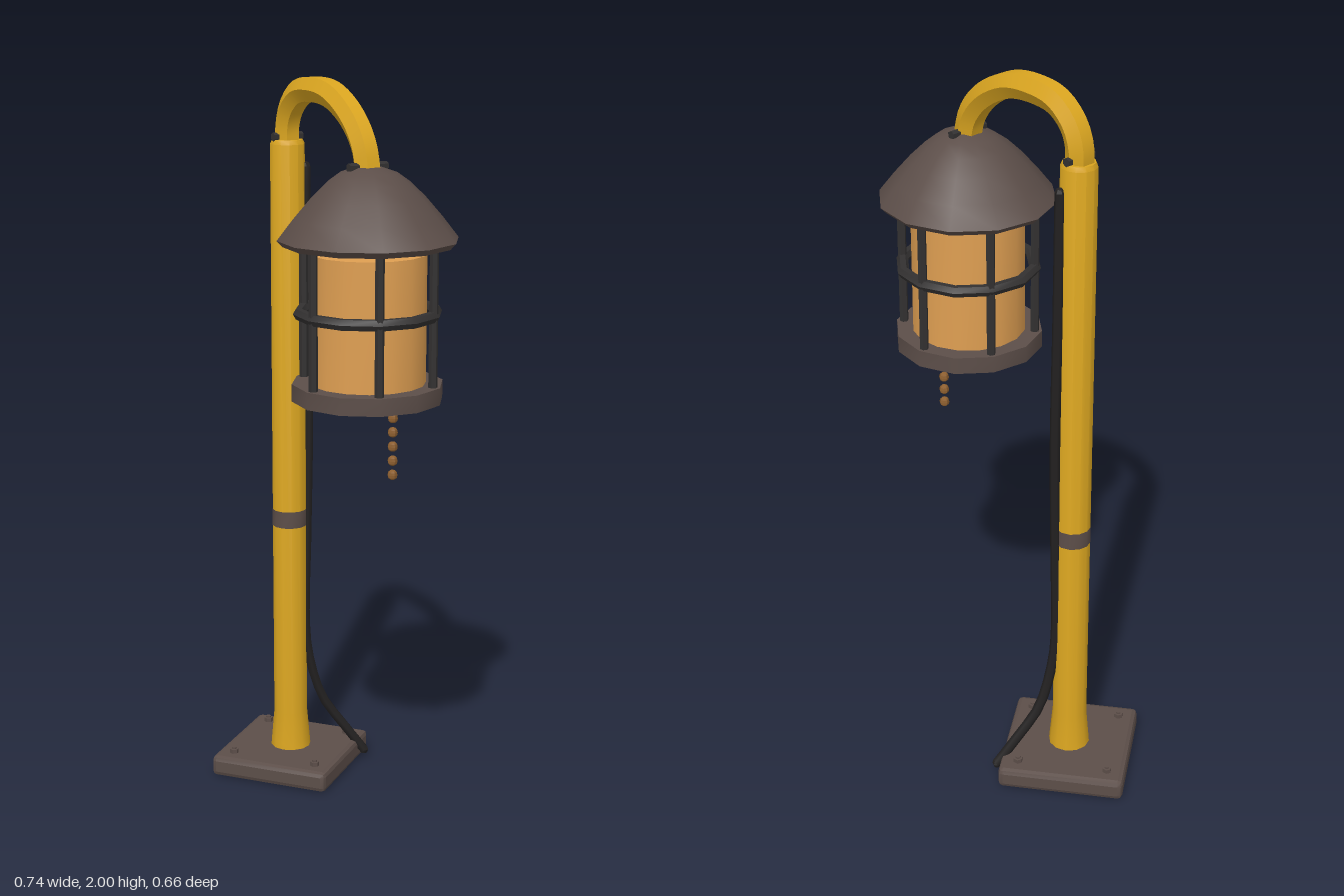
import * as THREE from 'three';
import { toCreasedNormals } from 'three/addons/utils/BufferGeometryUtils.js';
import { RoundedBoxGeometry } from 'three/addons/geometries/RoundedBoxGeometry.js';

const mat = (name, color) => {
  const m = new THREE.MeshStandardMaterial({ color });
  m.name = name;
  return m;
};

export function createModel() {
  const gold = mat('gold paint', 0xdaa520);
  const iron = mat('brown iron', 0x5c4e49);
  const steel = mat('dark steel', 0x333131);
  const rubber = mat('black rubber', 0x232121);
  const amber = mat('amber glass', 0xdf9f52);
  const brass = mat('aged brass', 0x8f6030);

  const model = new THREE.Group();
  model.name = 'streetLamp';

  const add = (parent, name, geo, material, x = 0, y = 0, z = 0, crease = 0.6) => {
    const mesh = new THREE.Mesh(toCreasedNormals(geo, crease), material);
    mesh.name = name;
    mesh.position.set(x, y, z);
    parent.add(mesh);
    return mesh;
  };
  const lathe = (pts, sides) =>
    new THREE.LatheGeometry(pts.map(([r, y]) => new THREE.Vector2(r, y)), sides);

  // Everything standing on the base plate
  const post = new THREE.Group();
  post.name = 'post';
  post.position.set(-0.195, 0, -0.155);
  model.add(post);

  add(post, 'basePlate', new RoundedBoxGeometry(0.352, 0.06, 0.352, 1, 0.014), iron, 0, 0.031, 0, 0.3);
  for (const sx of [-1, 1]) for (const sz of [-1, 1]) {
    add(post, 'baseBolt', new THREE.CylinderGeometry(0.013, 0.013, 0.014, 6), iron, sx * 0.126, 0.066, sz * 0.126);
    add(post, 'baseBoltTip', new THREE.CylinderGeometry(0.007, 0.007, 0.006, 6), iron, sx * 0.126, 0.075, sz * 0.126);
  }

  add(post, 'pole', lathe([
    [0, 0.055], [0.058, 0.055], [0.056, 0.08], [0.048, 0.17],
    [0.0475, 1.812], [0.042, 1.824], [0, 1.824],
  ], 12), gold);
  add(post, 'poleBand', new THREE.CylinderGeometry(0.0487, 0.0487, 0.048, 12, 1, true), iron, 0, 0.757, 0);

  // Curved arm, built in its own plane and turned toward the lantern
  const arm = new THREE.Group();
  arm.name = 'arm';
  arm.rotation.y = -Math.atan2(0.249, 0.328);
  post.add(arm);
  const armPath = new THREE.CatmullRomCurve3([
    [0, 1.81], [0, 1.86], [0.022, 1.912], [0.075, 1.955], [0.145, 1.967],
    [0.24, 1.957], [0.335, 1.905], [0.39, 1.84], [0.412, 1.765],
  ].map(([x, y]) => new THREE.Vector3(x, y, 0)));
  add(arm, 'armTube', new THREE.TubeGeometry(armPath, 28, 0.037, 6), gold);
  for (const [x, y, len] of [[0, 1.832, 0.09], [0.408, 1.79, 0.115]]) {
    add(arm, 'armPin', new THREE.CylinderGeometry(0.012, 0.012, len, 6), steel, x, y, 0).rotation.x = Math.PI / 2;
  }

  // Lantern
  const lantern = new THREE.Group();
  lantern.name = 'lantern';
  lantern.position.set(0.133, 0, 0.094);
  model.add(lantern);

  add(lantern, 'lanternRoof', lathe([
    [0, 1.59], [0.222, 1.59], [0.237, 1.606], [0.195, 1.66], [0.15, 1.712],
    [0.11, 1.751], [0.075, 1.776], [0.035, 1.79], [0, 1.793],
  ], 12), iron);
  add(lantern, 'lanternFloor', new THREE.CylinderGeometry(0.2, 0.2, 0.046, 12), iron, 0, 1.207, 0);
  add(lantern, 'glass', new THREE.CylinderGeometry(0.153, 0.153, 0.345, 16), amber, 0, 1.3975, 0);
  for (let i = 0; i < 6; i++) {
    const a = (i * Math.PI) / 3;
    add(lantern, 'cageBar', new THREE.CylinderGeometry(0.012, 0.012, 0.375, 6), steel,
      0.18 * Math.cos(a), 1.41, 0.18 * Math.sin(a));
  }
  add(lantern, 'cageRing', new THREE.TorusGeometry(0.18, 0.016, 6, 12), steel, 0, 1.415, 0).rotation.x = Math.PI / 2;

  // Pull chain
  for (let i = 0; i < 5; i++) {
    add(lantern, 'chainBead', new THREE.SphereGeometry(0.014, 8, 6), brass, 0.073, 1.14 - i * 0.0385, 0.004, 1);
  }

  // Power cable running down the back of the pole and over the plate
  const cablePath = new THREE.CatmullRomCurve3([
    [-0.153, 1.75, -0.183], [-0.152, 1.4, -0.187], [-0.149, 1.05, -0.188], [-0.153, 0.7, -0.182],
    [-0.156, 0.45, -0.176], [-0.148, 0.34, -0.18], [-0.115, 0.2, -0.205],
    [-0.06, 0.11, -0.233], [-0.005, 0.028, -0.26],
  ].map((p) => new THREE.Vector3(...p)));
  add(model, 'cable', new THREE.TubeGeometry(cablePath, 36, 0.014, 6), rubber, 0, 0, 0, 1.1);
  for (const end of [0, 1]) {
    const cap = add(model, 'cableEnd', new THREE.SphereGeometry(0.0138, 6, 4), rubber);
    cap.position.copy(cablePath.getPoint(end));
  }

  return model;
}
